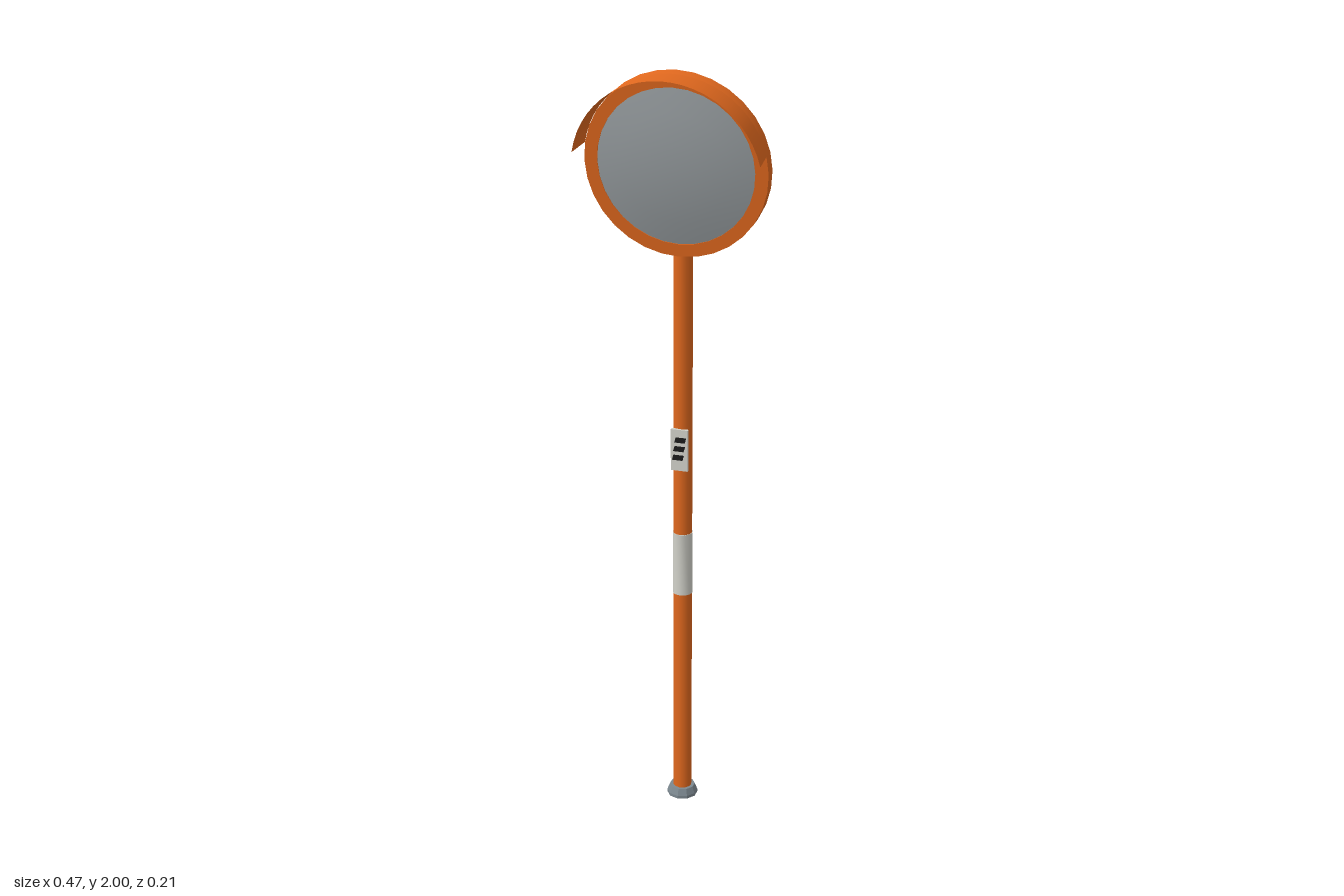
import * as THREE from 'three';
import { toCreasedNormals } from 'three/addons/utils/BufferGeometryUtils.js';

const material = (name, color, side = THREE.FrontSide) => {
  const m = new THREE.MeshStandardMaterial({ color, side });
  m.name = name;
  return m;
};
const points = (list) => list.map(([r, y]) => new THREE.Vector2(r, y));

export function createModel() {
  const orange = material('orange paint', 0xe0681e, THREE.DoubleSide);
  const darkOrange = material('dark orange paint', 0xba5020);
  const glass = material('mirror grey', 0x979da0);
  const steel = material('steel grey', 0x7c8890, THREE.DoubleSide);
  const white = material('off white', 0xd2d2ca);
  const black = material('black', 0x1a1a1a);

  const root = new THREE.Group();
  root.name = 'trafficMirror';
  const add = (parent, name, geometry, mat, x = 0, y = 0, z = 0) => {
    const mesh = new THREE.Mesh(geometry, mat);
    mesh.name = name;
    mesh.position.set(x, y, z);
    parent.add(mesh);
    return mesh;
  };
  const lathe = (list, segments, crease = 0.65) =>
    toCreasedNormals(new THREE.LatheGeometry(points(list), segments), crease);

  // Post with a darker cap
  const post = new THREE.Group();
  post.name = 'post';
  post.position.z = -0.064;
  root.add(post);
  add(post, 'pole', lathe([[0, 0.003], [0.025, 0.003], [0.025, 1.878]], 12), orange);
  add(post, 'cap', lathe([[0.025, 1.878], [0.022, 1.892], [0.013, 1.905], [0, 1.905]], 10, 0.3), darkOrange);

  // Flared foot with the painted underside
  add(post, 'foot', lathe([[0.041, 0], [0.041, 0.008], [0.034, 0.026], [0.024, 0.026]], 10, 0.3), steel);
  const sole = new THREE.CircleGeometry(0.04, 10).rotateX(Math.PI / 2);
  add(post, 'footUnderside', sole, darkOrange, 0, 0.001);

  // Reflective band
  add(post, 'reflectiveBand', lathe([[0.024, 0.609], [0.0265, 0.609], [0.0265, 0.782], [0.024, 0.782]], 12), white);

  // Label plate with three slanted marks
  add(post, 'labelPlate', new THREE.BoxGeometry(0.045, 0.112, 0.009), white, 0, 1.021, 0.0265);
  [[0.003, 1.049], [0, 1.025], [-0.003, 1.001]].forEach(([x, y]) => {
    const mark = new THREE.Shape(points([[-0.016, -0.007], [0.012, -0.007], [0.016, 0.007], [-0.012, 0.007]]));
    const geometry = new THREE.ExtrudeGeometry(mark, { depth: 0.002, bevelEnabled: false });
    add(post, 'labelMark', geometry, black, x, y, 0.0305);
  });

  // Close-fitting clamps
  [[1.842, 1.876], [1.664, 1.69]].forEach(([low, high]) => {
    const profile = [[0.022, low], [0.029, low], [0.029, high], [0.022, high]];
    add(post, 'clamp', lathe(profile, 12), steel);
  });

  // Tilted mirror head
  const head = new THREE.Group();
  head.name = 'mirrorHead';
  head.position.set(0, 1.769, -0.035);
  head.rotation.x = 0.132;
  root.add(head);
  const back = lathe([[0, -0.006], [0.1, -0.005], [0.233, 0]], 32);
  add(head, 'backShell', back.rotateX(Math.PI / 2), darkOrange);
  const rim = lathe([[0.233, 0], [0.233, 0.033], [0.2, 0.033], [0.2, 0.024]], 32);
  add(head, 'rim', rim.rotateX(Math.PI / 2), orange);
  const dome = lathe([[0.201, 0.031], [0.14, 0.043], [0.07, 0.051], [0, 0.053]], 32);
  add(head, 'mirror', dome.rotateX(Math.PI / 2), glass);
  add(head, 'bracket', new THREE.BoxGeometry(0.03, 0.15, 0.018), steel, 0, 0, -0.009);

  // Slightly flared visor around the upper half of the rim
  const gap = 0.2;
  const visor = new THREE.CylinderGeometry(0.24, 0.2335, 0.075, 24, 1, true, Math.PI / 2 + gap, Math.PI - 2 * gap);
  add(head, 'visor', visor.rotateX(Math.PI / 2), orange, 0, 0, 0.0695);

  return root;
}
